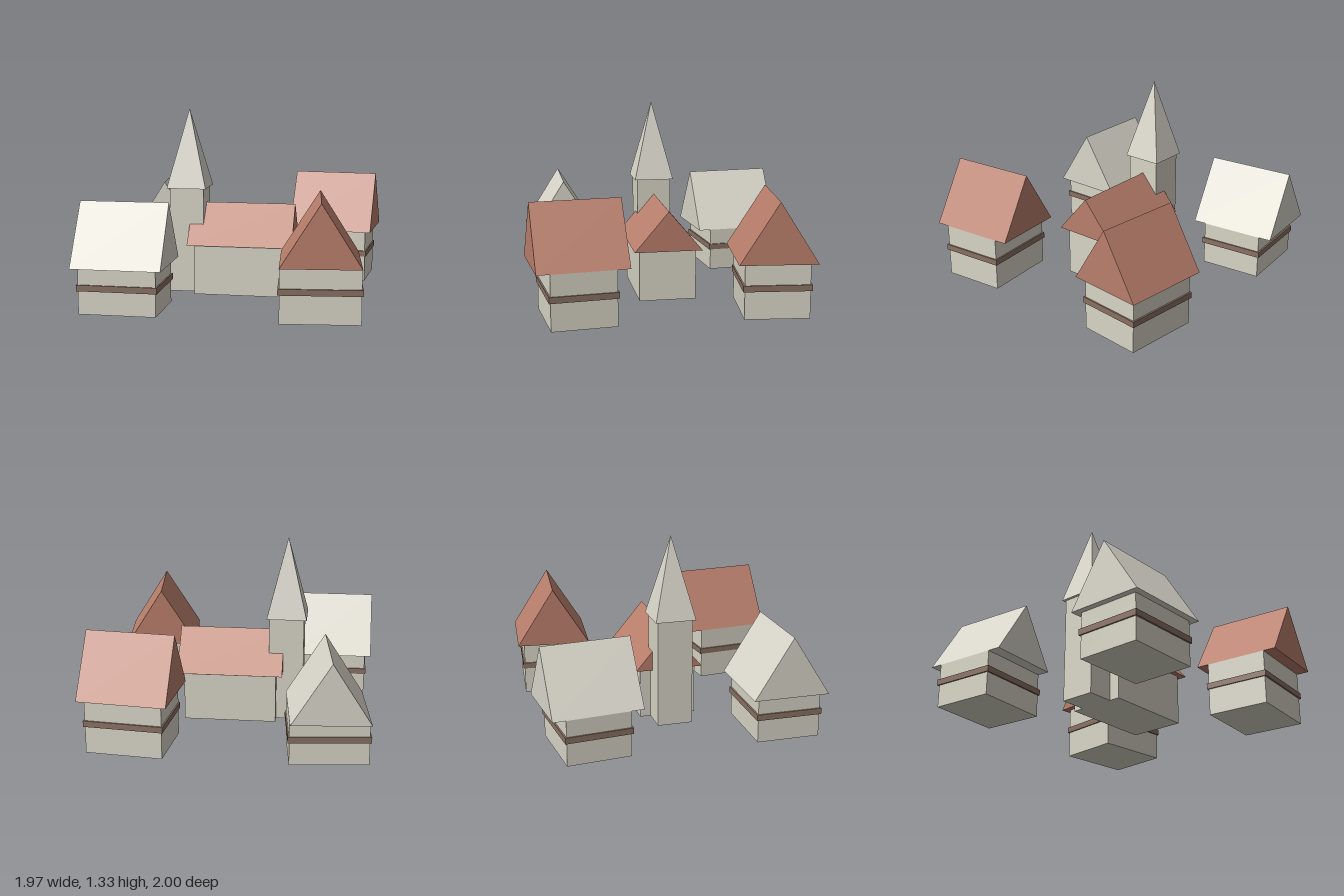
import * as THREE from 'three';

const material = (name, color) => {
  const m = new THREE.MeshStandardMaterial({ color });
  m.name = name;
  return m;
};

export function createModel() {
  const plaster = material('plaster', 0xd8d5c6);
  const slate = material('paleSlate', 0xdad7cb);
  const tile = material('redTile', 0xba7f6c);
  const timber = material('timber', 0x8a7162);

  const add = (parent, name, geometry, mat, x = 0, y = 0, z = 0) => {
    const mesh = new THREE.Mesh(geometry, mat);
    mesh.name = name;
    mesh.position.set(x, y, z);
    parent.add(mesh);
    return mesh;
  };

  // Box standing on its base
  const block = (w, h, d) => new THREE.BoxGeometry(w, h, d).translate(0, h / 2, 0);

  // Closed triangular prism with its ridge along z
  const gableRoof = (span, height, length) => {
    const s = new THREE.Shape();
    s.moveTo(-span / 2, 0);
    s.lineTo(span / 2, 0);
    s.lineTo(0, height);
    s.closePath();
    return new THREE.ExtrudeGeometry(s, { depth: length, bevelEnabled: false })
      .translate(0, 0, -length / 2);
  };

  const village = new THREE.Group();
  village.name = 'village';

  // Four cottages: walls, timber band and a roof whose ridge runs along x or z
  const cottages = [
    { name: 'frontRightCottage', x: -0.675, z: 0.665, turn: 0, wall: 0.314, band: 0.18, roof: slate, ridgeX: true },
    { name: 'backRightCottage', x: -0.677, z: -0.665, turn: 0.1, wall: 0.314, band: 0.18, roof: slate, ridgeX: false },
    { name: 'frontLeftCottage', x: 0.65, z: 0.665, turn: 0.1, wall: 0.38, band: 0.212, roof: tile, ridgeX: false },
    { name: 'backLeftCottage', x: 0.65, z: -0.665, turn: -0.1, wall: 0.38, band: 0.212, roof: tile, ridgeX: true },
  ];
  for (const c of cottages) {
    const cottage = new THREE.Group();
    cottage.name = c.name;
    cottage.position.set(c.x, 0, c.z);
    cottage.rotation.y = c.turn;
    add(cottage, 'walls', block(0.53, c.wall, 0.44), plaster);
    add(cottage, 'timberBand', block(0.55, 0.042, 0.462), timber, 0, c.band - 0.021, 0);
    const roof = add(cottage, 'roof', gableRoof(0.53, 0.42, 0.617), c.roof, 0, c.wall, 0);
    if (c.ridgeX) roof.rotation.y = Math.PI / 2;
    village.add(cottage);
  }

  // Church: nave with a tiled roof, square tower and pyramid spire
  const church = new THREE.Group();
  church.name = 'church';
  add(church, 'nave', block(0.66, 0.36, 0.4), plaster, 0.032, 0, 0);
  add(church, 'naveRoof', gableRoof(0.48, 0.284, 0.752), tile, 0.032, 0.36, 0).rotation.y = Math.PI / 2;
  add(church, 'tower', block(0.247, 0.755, 0.247), plaster, -0.366, 0, 0);
  const spire = new THREE.ConeGeometry(0.285 / Math.SQRT2, 0.57, 4, 1).toNonIndexed();
  spire.rotateY(Math.PI / 4);
  spire.computeVertexNormals();
  add(church, 'spire', spire, slate, -0.366, 0.755 + 0.285, 0);
  village.add(church);

  return village;
}
